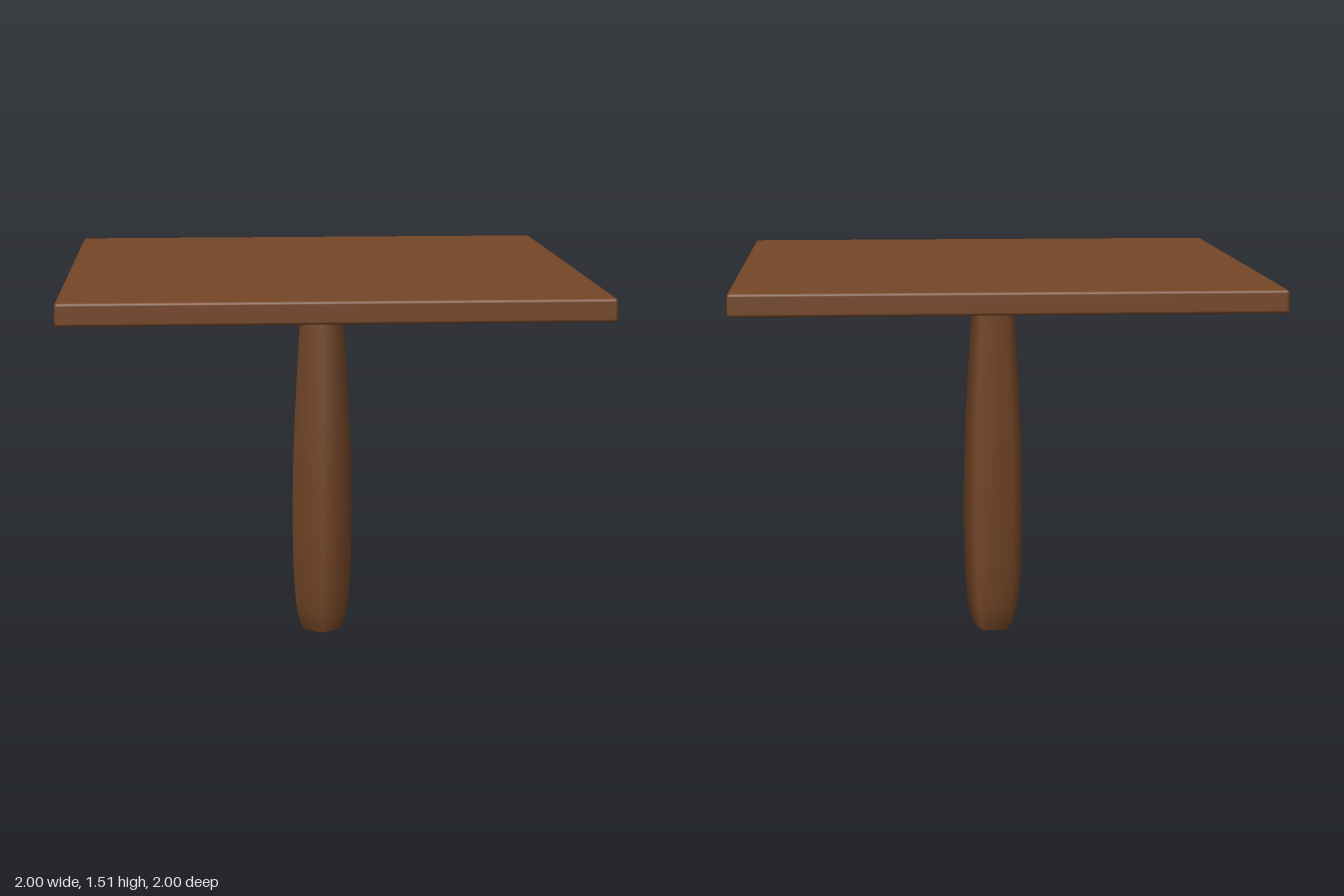
import * as THREE from 'three';
import { RoundedBoxGeometry } from 'three/addons/geometries/RoundedBoxGeometry.js';

const SIDES = 5;

export function createModel() {
  const model = new THREE.Group();
  const wood = new THREE.MeshStandardMaterial({ color: 0x754627 });
  const add = (name, geometry, y = 0) => {
    const mesh = new THREE.Mesh(geometry, wood);
    mesh.name = name;
    mesh.position.y = y;
    model.add(mesh);
    return mesh;
  };

  // Square slab with slightly softened edges
  add('tabletop', new RoundedBoxGeometry(2, 0.085, 2, 2, 0.012), 1.4725);

  // Five-sided bulging post, one corner facing the front
  const profile = new THREE.SplineCurve([
    [0.081, 0], [0.107, 0.08], [0.121, 0.22], [0.127, 0.42], [0.127, 0.55],
    [0.121, 0.8], [0.111, 1.0], [0.099, 1.2], [0.082, 1.44],
  ].map(([r, y]) => new THREE.Vector2(r, y)));
  add('post', new THREE.LatheGeometry(profile.getPoints(24), SIDES));

  // Flat end closing the bottom of the post
  const foot = add('postFoot', new THREE.CircleGeometry(0.081, SIDES, -Math.PI / 2));
  foot.rotation.x = Math.PI / 2;
  // Turn the pentagon so its corner lines up with the post's front corner
  foot.geometry.rotateZ(Math.PI);

  return model;
}
